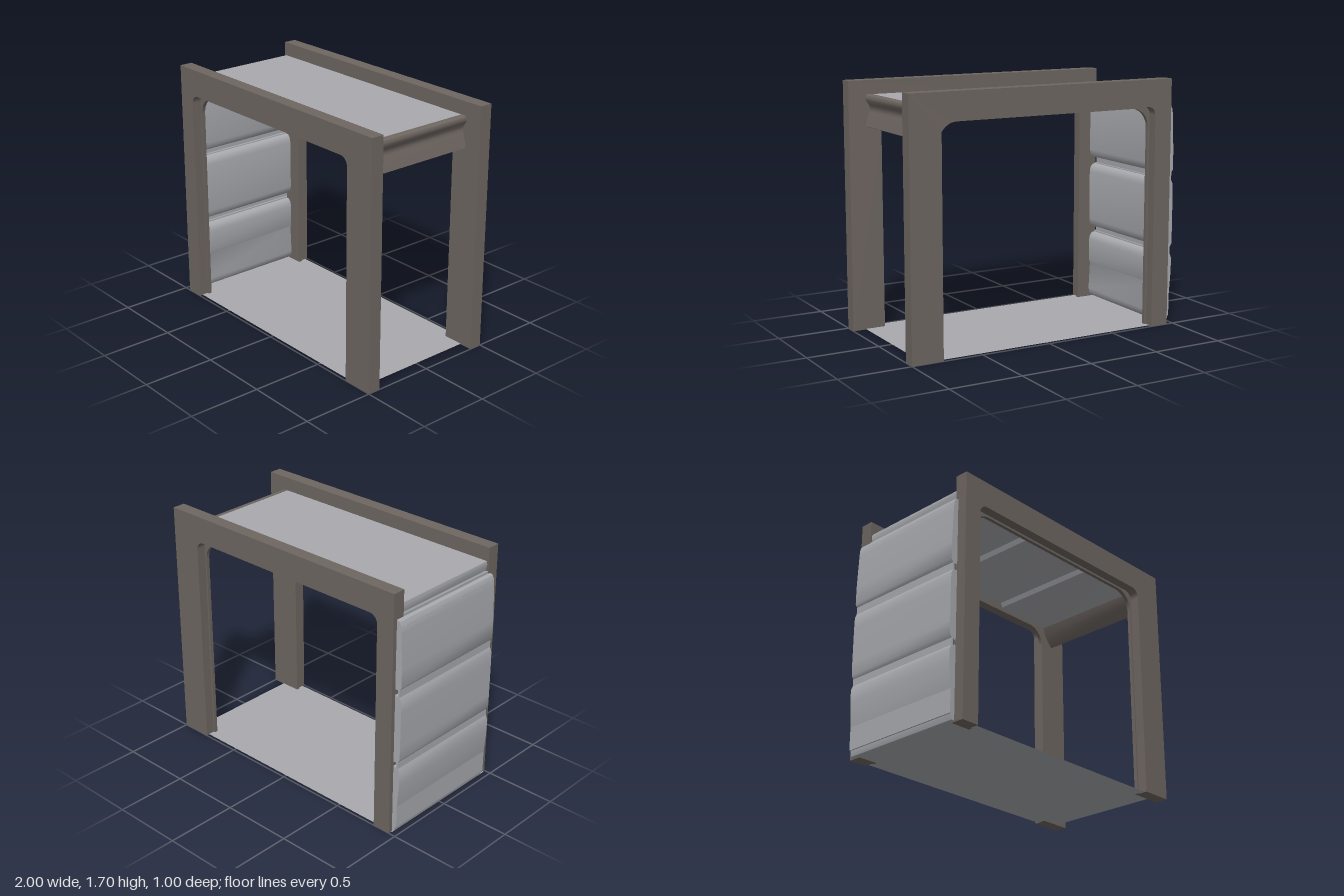
import * as THREE from 'three';
import { toCreasedNormals } from 'three/addons/utils/BufferGeometryUtils.js';

const brown = new THREE.MeshStandardMaterial({ color: 0x6e6661 });
brown.name = 'brownFrame';
const grey = new THREE.MeshStandardMaterial({ color: 0xa8a9ae, side: THREE.DoubleSide });
grey.name = 'greyPanel';

// Extrude an x-y outline between two z positions
function slab(name, shape, z0, z1, material) {
  const raw = new THREE.ExtrudeGeometry(shape, { depth: z1 - z0, bevelEnabled: false, curveSegments: 8 });
  const mesh = new THREE.Mesh(toCreasedNormals(raw, 0.7), material);
  mesh.position.z = z0;
  mesh.name = name;
  return mesh;
}

const polygon = (points) => new THREE.Shape(points.map(([x, y]) => new THREE.Vector2(x, y)));

// Portal outline: two legs and a lintel, with rounded inner corners
function portal(outer, inner, top, innerTop, r) {
  const [a, b] = outer, [c, d] = inner;
  const s = new THREE.Shape();
  s.moveTo(a, 0);
  s.lineTo(c, 0);
  s.lineTo(c, innerTop - r);
  s.absarc(c + r, innerTop - r, r, Math.PI, Math.PI / 2, true);
  s.lineTo(d - r, innerTop);
  s.absarc(d - r, innerTop - r, r, Math.PI / 2, 0, true);
  s.lineTo(d, 0);
  s.lineTo(b, 0);
  s.lineTo(b, top);
  s.lineTo(a, top);
  s.closePath();
  return s;
}

// Outer wall bumps: x and y from bottom to top
const outerBumps = [
  [[-0.955, 0.006], [-0.968, 0.012], [-0.976, 0.04], [-0.979, 0.18], [-0.986, 0.21], [-0.998, 0.37],
    [-0.998, 0.46], [-0.985, 0.49], [-0.955, 0.5]],
  [[-0.955, 0.53], [-0.985, 0.538], [-0.998, 0.56], [-1, 0.65], [-1, 0.9], [-0.998, 0.975],
    [-0.985, 1.003], [-0.955, 1.01]],
  [[-0.955, 1.05], [-0.985, 1.055], [-0.998, 1.075], [-0.998, 1.2], [-0.988, 1.44], [-0.984, 1.49],
    [-0.972, 1.515], [-0.95, 1.522]],
];

// Inner wall cushion, rounded at both ends
function cushion(y0, y1, crease) {
  const p = [[-0.95, y0], [-0.925, y0 + 0.005], [-0.907, y0 + 0.025], [-0.9, y0 + 0.06]];
  if (crease) p.push([-0.91, crease - 0.01], [-0.902, crease + 0.01]);
  p.push([-0.9, y1 - 0.06], [-0.907, y1 - 0.025], [-0.925, y1 - 0.005], [-0.95, y1]);
  return polygon(p);
}

export function createModel() {
  const model = new THREE.Group();

  // Front and back frames, each with a recessed lip on its inner side
  for (const side of [1, -1]) {
    const frame = new THREE.Group();
    frame.name = side > 0 ? 'frontFrame' : 'backFrame';
    const span = (near, far) => (side > 0 ? [near, far] : [-far, -near]);
    frame.add(slab('portal', portal([-0.95, 1], [-0.821, 0.779], 1.7, 1.518, 0.06), ...span(0.435, 0.5), brown));
    frame.add(slab('innerLip', portal([-0.95, 1], [-0.807, 0.767], 1.7, 1.503, 0.13), ...span(0.41, 0.435), brown));
    model.add(frame);
  }

  // Side wall: outer bumps joined by a thin strip, with cushions inside
  const wall = new THREE.Group();
  wall.name = 'sideWall';
  outerBumps.forEach((points) => {
    const outline = [...points, [-0.945, points.at(-1)[1]], [-0.945, points[0][1]]];
    wall.add(slab('outerPanel', polygon(outline), -0.47, 0.43, grey));
  });
  wall.add(slab('joiningStrip', polygon([[-0.985, 0.05], [-0.972, 0.05], [-0.972, 1.48], [-0.985, 1.48]]), -0.47, 0.43, grey));
  [[0.005, 0.492, 0.27], [0.535, 1.005], [1.05, 1.54]].forEach((c) => {
    wall.add(slab('innerPanel', cushion(...c), -0.411, 0.411, grey));
  });
  model.add(wall);

  // Roof: flat on top, grooved between the ceiling panels
  const roof = [[-0.935, 1.605], [-0.94, 1.58], [-0.925, 1.53], [-0.89, 1.525]];
  for (const x of [-0.34, 0.26]) {
    roof.push([x - 0.1, 1.525], [x - 0.075, 1.533], [x - 0.06, 1.565],
      [x + 0.06, 1.565], [x + 0.075, 1.533], [x + 0.1, 1.525]);
  }
  roof.push([0.8, 1.525], [0.845, 1.56], [0.845, 1.605]);
  model.add(slab('roof', polygon(roof), -0.411, 0.411, grey));

  // Beam along the open end: rolled top edge above a flared flange
  const beam = [[0.835, 1.607], [0.86, 1.607], [0.874, 1.6], [0.88, 1.585], [0.876, 1.565], [0.855, 1.535],
    [0.848, 1.51], [0.855, 1.49], [0.882, 1.395], [0.87, 1.39], [0.81, 1.46], [0.785, 1.525], [0.835, 1.55]];
  model.add(slab('endBeam', polygon(beam), -0.411, 0.411, brown));

  // Floor sheet
  const floor = new THREE.Mesh(new THREE.PlaneGeometry(1.87, 0.96), grey);
  floor.rotation.x = -Math.PI / 2;
  floor.position.set(-0.025, 0.004, 0);
  floor.name = 'floor';
  model.add(floor);

  return model;
}
